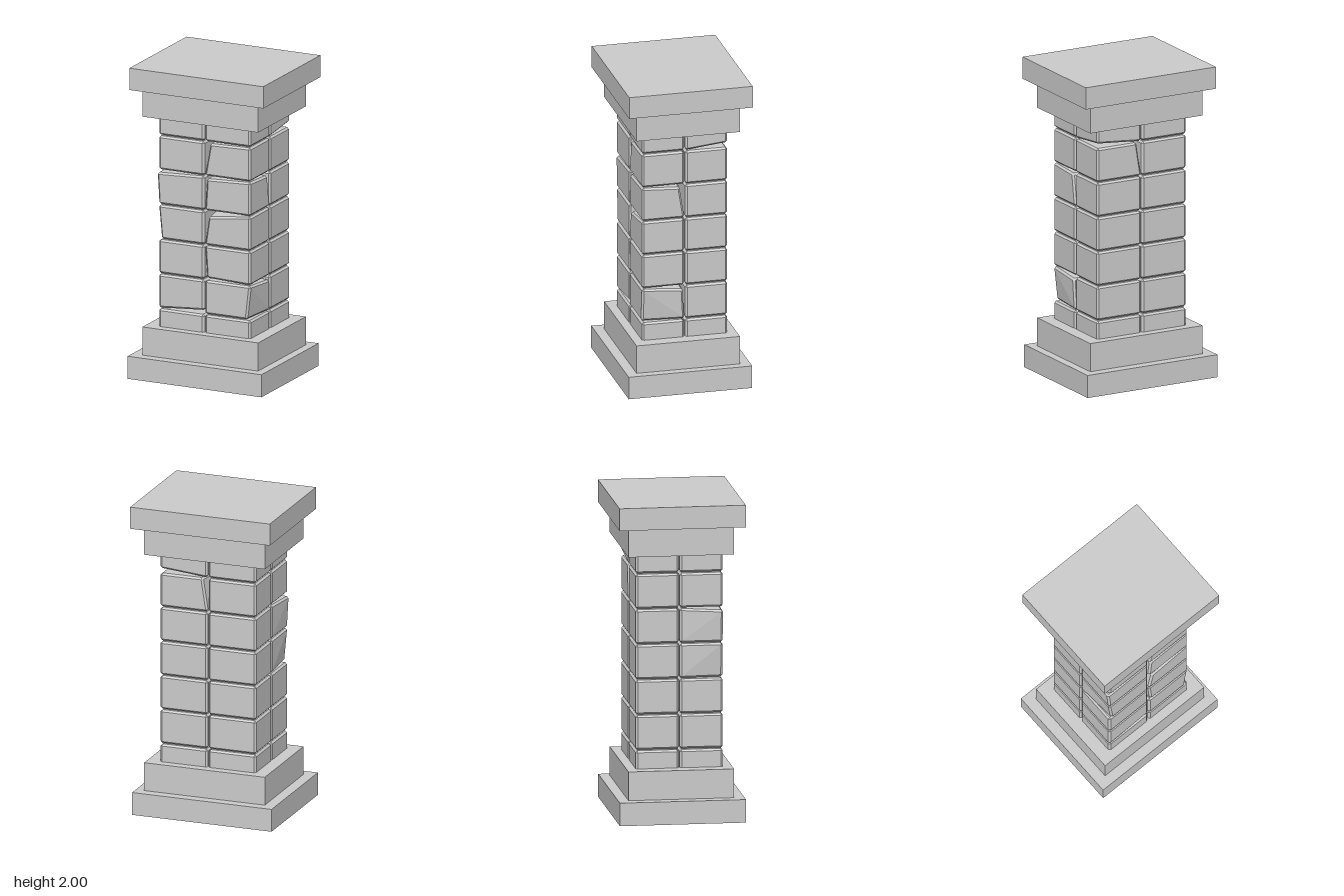
import * as THREE from 'three';
import { ConvexGeometry } from 'three/addons/geometries/ConvexGeometry.js';

const COURSES = 9, PITCH = 2 / COURSES;
const HALF_X = 0.317, HALF_Z = 0.272, GAP = 0.003, BEVEL = 0.012;

// Crooked bricks, named by course and side; each entry shifts one corner of the brick
const CHIPS = {
  '2 left back': {},
  '2 right front': { innerBottomFront: [0, 0.022, 0] },
  '2 left front': { outerBottomFront: [-0.022, 0, 0], outerTopCentre: [0.005, -0.018, 0.01] },
  '3 left front': { innerBottomFront: [0.012, 0.01, 0] },
  '4 right front': { outerBottomFront: [0.018, 0, 0] },
  '4 left front': { innerTopFront: [0.024, -0.032, 0] },
  '5 right front': { outerTopFront: [-0.01, -0.014, 0] },
  '5 left front': { innerTopFront: [0.012, -0.012, 0], outerTopCentre: [0, -0.012, 0.028] },
  '6 left front': { innerTopFront: [0.034, -0.006, 0] },
  '6 left back': { innerTopFront: [0.03, 0, 0] },
  '7 left back': { outerBottomFront: [0, 0.025, 0] },
};
delete CHIPS['2 left back'];

const material = new THREE.MeshStandardMaterial({ color: 0xcccccc, flatShading: true });

// Bevelled brick: every corner becomes three points, one for each face meeting there
function brickGeometry(course, sx, sz) {
  const chips = CHIPS[`${course} ${sx > 0 ? 'left' : 'right'} ${sz > 0 ? 'front' : 'back'}`] ?? {};
  const points = [];
  for (const outer of [false, true]) for (const top of [false, true]) for (const front of [false, true]) {
    const level = course + (top ? 1 : 0);
    const joint = level === 0 || level === COURSES ? 0 : GAP;
    const corner = new THREE.Vector3(
      sx * (outer ? HALF_X : GAP),
      level * PITCH + (top ? -joint : joint),
      sz * (front ? HALF_Z : GAP));
    const key = (outer ? 'outer' : 'inner') + (top ? 'Top' : 'Bottom') + (front ? 'Front' : 'Centre');
    if (chips[key]) corner.add(new THREE.Vector3(...chips[key]));

    const inward = [outer ? -sx : sx, top ? -1 : 1, front ? -sz : sz];
    for (let face = 0; face < 3; face++) {
      const inset = inward.map((d, axis) => (axis === face ? 0 : d * BEVEL));
      points.push(corner.clone().add(new THREE.Vector3(...inset)));
    }
  }
  return new ConvexGeometry(points);
}

function slab(name, x0, x1, y0, y1, halfZ) {
  const mesh = new THREE.Mesh(new THREE.BoxGeometry(x1 - x0, y1 - y0, halfZ * 2), material);
  mesh.position.set((x0 + x1) / 2, (y0 + y1) / 2, 0);
  mesh.name = name;
  return mesh;
}

export function createModel() {
  const model = new THREE.Group();
  model.name = 'stonePillar';

  // Stepped foot and stepped cap
  model.add(
    slab('lowerPlinth', -0.47, 0.455, 0.002, 0.147, 0.394),
    slab('upperPlinth', -0.4, 0.4, 0.147, 0.328, 0.33),
    slab('lowerCap', -0.4, 0.4, 1.68, 1.86, 0.33),
    slab('upperCap', -0.458, 0.468, 1.86, 2, 0.394));

  // Shaft of four bricks per course
  const shaft = new THREE.Group();
  shaft.name = 'brickShaft';
  for (let course = 0; course < COURSES; course++) {
    for (const sx of [-1, 1]) for (const sz of [-1, 1]) {
      const brick = new THREE.Mesh(brickGeometry(course, sx, sz), material);
      brick.name = 'brick';
      shaft.add(brick);
    }
  }
  model.add(shaft);
  return model;
}
